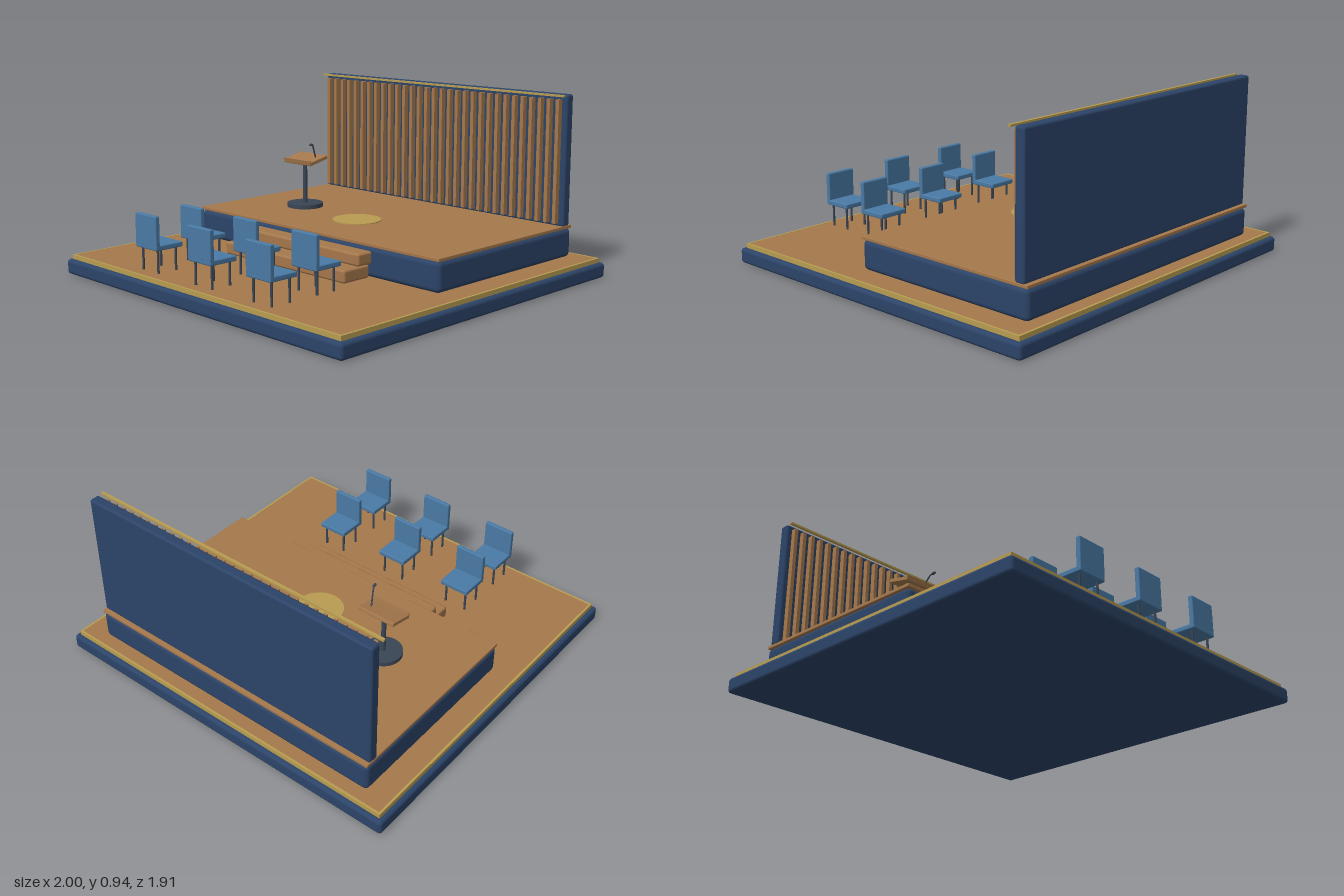
import * as THREE from 'three';
import { RoundedBoxGeometry } from 'three/addons/geometries/RoundedBoxGeometry.js';

const material = (color) => new THREE.MeshStandardMaterial({ color });
const navy = material(0x2c4468);
const wood = material(0xa5784c);
const gold = material(0xb89c50);
const blue = material(0x4a7aa5);
const dark = material(0x3a4656);

function add(parent, name, geometry, mat, x = 0, y = 0, z = 0) {
  const mesh = new THREE.Mesh(geometry, mat);
  mesh.name = name;
  mesh.position.set(x, y, z);
  parent.add(mesh);
  return mesh;
}

// Box given by its [min, max] extents, rounded when r > 0
function block(parent, name, mat, [x0, x1], [y0, y1], [z0, z1], r = 0) {
  const size = [x1 - x0, y1 - y0, z1 - z0];
  const geometry = r ? new RoundedBoxGeometry(...size, 3, r) : new THREE.BoxGeometry(...size);
  return add(parent, name, geometry, mat, (x0 + x1) / 2, (y0 + y1) / 2, (z0 + z1) / 2);
}

function rod(parent, name, mat, r, y0, y1, x, z, sides = 16) {
  return add(parent, name, new THREE.CylinderGeometry(r, r, y1 - y0, sides), mat, x, (y0 + y1) / 2, z);
}

function createChair() {
  const chair = new THREE.Group();
  chair.name = 'chair';
  block(chair, 'seat', blue, [-0.083, 0.083], [0.117, 0.143], [-0.08, 0.08], 0.006);
  block(chair, 'backrest', blue, [-0.083, 0.083], [0.135, 0.287], [0.055, 0.08], 0.006);
  for (const x of [-0.06, 0.06])
    for (const z of [-0.053, 0.053]) rod(chair, 'chairLeg', dark, 0.006, 0, 0.12, x, z, 10);
  return chair;
}

function createLectern() {
  const lectern = new THREE.Group();
  lectern.name = 'lectern';
  rod(lectern, 'lecternBase', dark, 0.097, 0, 0.022, 0, 0, 32);
  rod(lectern, 'lecternColumn', dark, 0.012, 0.02, 0.26, 0, 0);

  // Sloping desk with a lip along its lower edge
  const desk = new THREE.Group();
  desk.name = 'desk';
  desk.position.set(0, 0.262, -0.005);
  desk.rotation.x = 0.22;
  block(desk, 'deskTop', wood, [-0.104, 0.104], [-0.01, 0.01], [-0.066, 0.066], 0.004);
  block(desk, 'deskLip', wood, [-0.104, 0.104], [0.008, 0.018], [0.058, 0.066]);
  lectern.add(desk);

  // Gooseneck microphone
  const neck = new THREE.CatmullRomCurve3([
    new THREE.Vector3(0.062, 0.27, -0.022),
    new THREE.Vector3(0.074, 0.31, 0.002),
    new THREE.Vector3(0.084, 0.345, 0.022),
    new THREE.Vector3(0.089, 0.351, 0.034),
  ]);
  add(lectern, 'microphoneNeck', new THREE.TubeGeometry(neck, 16, 0.004, 8), dark);
  const head = add(lectern, 'microphoneHead', new THREE.CapsuleGeometry(0.007, 0.012, 4, 10), dark, 0.09, 0.352, 0.038);
  head.rotation.x = Math.PI / 2 - 0.2;
  return lectern;
}

export function createModel() {
  const model = new THREE.Group();
  model.name = 'auditorium';

  // Plinth, floor and its gold border
  block(model, 'plinth', navy, [-1, 1], [0, 0.078], [-0.953, 0.953], 0.018);
  block(model, 'floor', wood, [-0.967, 0.967], [0.075, 0.1], [-0.92, 0.92]);
  for (const s of [-1, 1]) {
    block(model, 'sideTrim', gold, [s * 0.97 - 0.006, s * 0.97 + 0.006], [0.075, 0.101], [-0.929, 0.929]);
    block(model, 'endTrim', gold, [-0.97, 0.97], [0.075, 0.101], [s * 0.923 - 0.006, s * 0.923 + 0.006]);
  }

  // Stage with a wooden deck and round floor marker
  block(model, 'stage', navy, [-0.85, 0.85], [0.1, 0.25], [-0.86, 0.18], 0.025);
  block(model, 'stageDeck', wood, [-0.85, 0.85], [0.25, 0.267], [-0.86, 0.18], 0.003);
  rod(model, 'stageMarker', gold, 0.127, 0.265, 0.272, 0, -0.165, 48);

  // Steps up to the stage
  block(model, 'lowerStep', wood, [-0.43, 0.43], [0.103, 0.168], [0.19, 0.362], 0.012);
  block(model, 'upperStep', wood, [-0.43, 0.43], [0.168, 0.23], [0.1, 0.268], 0.012);

  // Back wall, slats and top rail
  block(model, 'backWall', navy, [-0.85, 0.85], [0.263, 0.935], [-0.84, -0.785], 0.012);
  for (let i = 0; i < 31; i++) {
    const x = (i - 15) * 0.054;
    block(model, 'slat', wood, [x - 0.01, x + 0.01], [0.28, 0.91], [-0.787, -0.757]);
  }
  block(model, 'topRail', gold, [-0.85, 0.85], [0.925, 0.935], [-0.766, -0.751]);

  const lectern = createLectern();
  lectern.position.set(-0.455, 0.267, -0.226);
  model.add(lectern);

  // Two rows of three chairs facing the stage
  for (const z of [0.523, 0.797])
    for (const x of [-0.41, 0, 0.41]) {
      const chair = createChair();
      chair.position.set(x, 0.1, z);
      model.add(chair);
    }
  return model;
}
